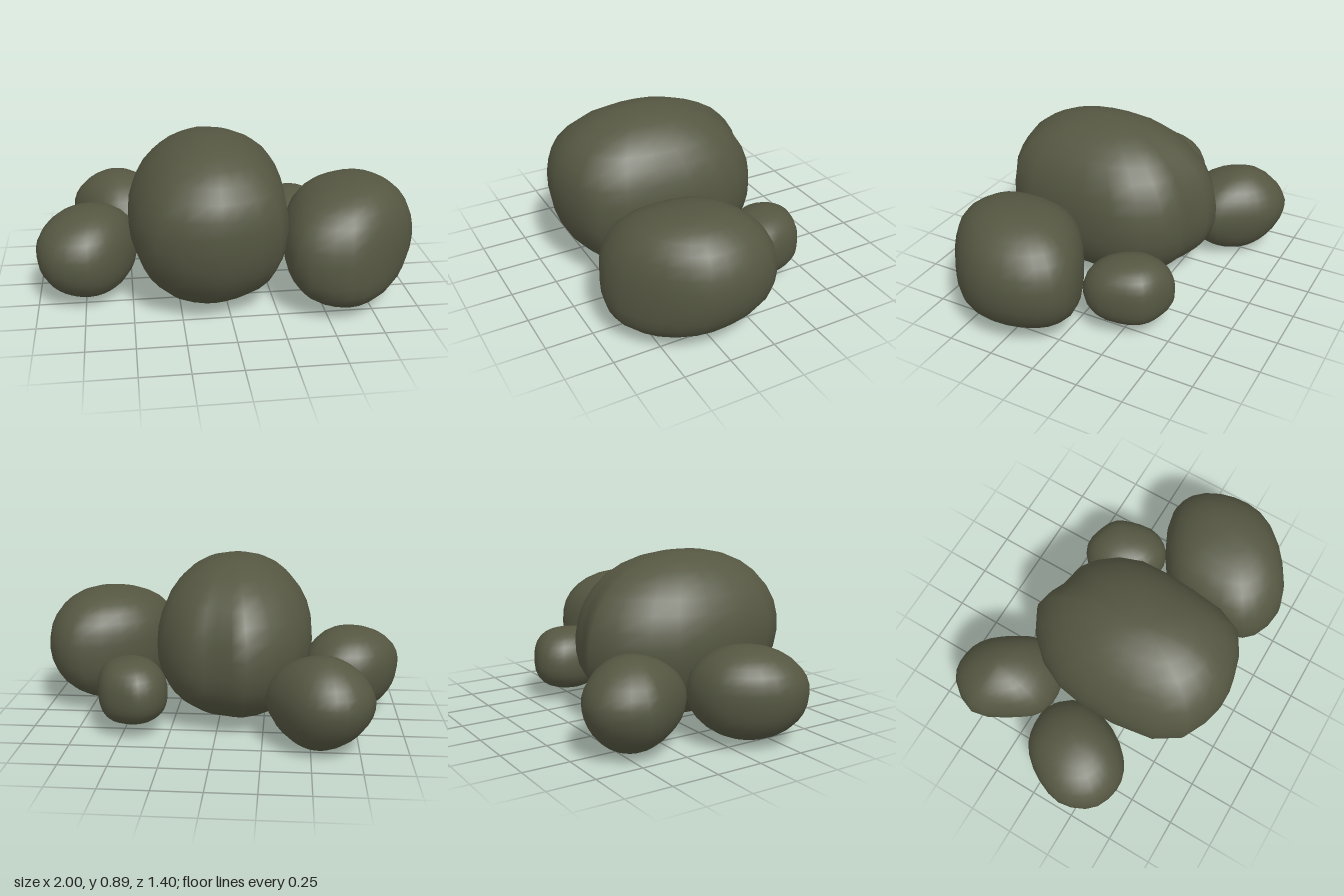
import * as THREE from 'three';
import { mergeVertices } from 'three/addons/utils/BufferGeometryUtils.js';

const ROWS = 16;
const SIDES = 24;
const { lerp, mapLinear } = THREE.MathUtils;

// Rounded lift from an end point (crown or foot) out to the widest extent
function bulge(y, end, endY, widest, waistY, power) {
  const u = Math.min(1, Math.abs((y - waistY) / (endY - waistY)));
  return lerp(end, widest, (1 - u ** power) ** (1 / power));
}

// A boulder: the plan outline [x, z] (back, +x, front, -x) is fitted at every
// height between sides that bulge from crown to foot. Each side has its own
// waist height and power, in the order -x, +x, -z, +z.
function boulder(name, material, { bottom, top, crown, foot, waists, powers, plan }) {
  const curve = new THREE.CatmullRomCurve3(plan.map(([x, z]) => new THREE.Vector3(x, 0, z)), true);
  const ring = Array.from({ length: SIDES }, (_, i) => curve.getPoint(i / SIDES));
  const { min, max } = new THREE.Box3().setFromPoints(ring);

  const positions = [], index = [];
  for (let i = 0; i <= ROWS; i++) {
    const height = Math.cos(Math.PI * i / ROWS);
    const y = mapLinear(height, -1, 1, bottom, top);
    const [x0, x1, z0, z1] = [min.x, max.x, min.z, max.z].map((widest, side) => {
      const axis = side < 2 ? 0 : 1;
      return y > waists[side]
        ? bulge(y, crown[axis], top, widest, waists[side], powers[side])
        : bulge(y, foot[axis], bottom, widest, waists[side], powers[side]);
    });
    for (const p of ring) {
      // The outline gets rounder towards crown and foot
      const nx = mapLinear(p.x, min.x, max.x, -1, 1), nz = mapLinear(p.z, min.z, max.z, -1, 1);
      const round = lerp(1, 1 / Math.hypot(nx, nz), 0.6 * height ** 2);
      positions.push(mapLinear(nx * round, -1, 1, x0, x1), y, mapLinear(nz * round, -1, 1, z0, z1));
    }
  }
  for (let i = 0; i < ROWS; i++) {
    for (let j = 0; j < SIDES; j++) {
      const a = i * SIDES + j, b = i * SIDES + (j + 1) % SIDES;
      if (i > 0) index.push(a, b, b + SIDES);
      if (i < ROWS - 1) index.push(a, b + SIDES, a + SIDES);
    }
  }
  const raw = new THREE.BufferGeometry();
  raw.setAttribute('position', new THREE.Float32BufferAttribute(positions, 3));
  raw.setIndex(index);
  const geometry = mergeVertices(raw, 1e-4);
  geometry.computeVertexNormals();
  const mesh = new THREE.Mesh(geometry, material);
  mesh.name = name;
  return mesh;
}

export function createModel() {
  const group = new THREE.Group();
  group.name = 'boulders';
  const stone = new THREE.MeshStandardMaterial({ color: 0x555742 });
  stone.name = 'mossy stone';

  // Tall central boulder
  group.add(boulder('mainBoulder', stone, {
    bottom: 0.005, top: 0.895, crown: [-0.1, 0.17], foot: [-0.15, 0.16],
    waists: [0.46, 0.44, 0.4, 0.53], powers: [1.95, 2.3, 2.2, 2.3],
    plan: [[-0.17, -0.46], [0, -0.4], [0.15, -0.37], [0.32, -0.16], [0.33, 0.2], [0.25, 0.57], [0, 0.68],
      [-0.17, 0.69], [-0.43, 0.56], [-0.51, 0.1], [-0.43, -0.24]],
  }));

  // Large boulder on the left
  group.add(boulder('largeLeftBoulder', stone, {
    bottom: 0.03, top: 0.67, crown: [0.7, 0.28], foot: [0.63, 0.32],
    waists: [0.36, 0.37, 0.35, 0.25], powers: [2.4, 2.15, 2.5, 2.6],
    plan: [[0.76, -0.11], [0.91, -0.05], [1, 0.15], [0.98, 0.38], [0.8, 0.59], [0.58, 0.7],
      [0.35, 0.63], [0.29, 0.47], [0.35, 0.14], [0.5, -0.01]],
  }));

  // Rounded boulder at the front right
  group.add(boulder('frontRightBoulder', stone, {
    bottom: 0.03, top: 0.5, crown: [-0.71, 0.12], foot: [-0.73, 0.14],
    waists: [0.29, 0.26, 0.28, 0.26], powers: [2.15, 2.2, 2.2, 2.2],
    plan: [[-0.7, -0.15], [-0.57, -0.13], [-0.46, 0.02], [-0.52, 0.25], [-0.65, 0.39],
      [-0.78, 0.42], [-0.93, 0.36], [-1, 0.2], [-0.95, 0.03], [-0.83, -0.11]],
  }));

  // Boulder at the back right
  group.add(boulder('backRightBoulder', stone, {
    bottom: 0.01, top: 0.495, crown: [-0.56, -0.46], foot: [-0.53, -0.46],
    waists: [0.27, 0.25, 0.28, 0.25], powers: [1.9, 1.9, 1.75, 1.9],
    plan: [[-0.82, -0.5], [-0.7, -0.68], [-0.57, -0.705], [-0.45, -0.66], [-0.34, -0.53],
      [-0.26, -0.36], [-0.33, -0.2], [-0.47, -0.14], [-0.62, -0.16], [-0.74, -0.31]],
  }));

  // Small raised boulder at the back left
  group.add(boulder('smallBackBoulder', stone, {
    bottom: 0.06, top: 0.41, crown: [0.45, -0.28], foot: [0.46, -0.25],
    waists: [0.22, 0.23, 0.22, 0.22], powers: [2.4, 2.4, 2.4, 2.4],
    plan: [[0.38, -0.475], [0.48, -0.46], [0.58, -0.41], [0.63, -0.3], [0.65, -0.15],
      [0.57, -0.04], [0.44, -0.03], [0.34, -0.12], [0.26, -0.26], [0.29, -0.41]],
  }));
  return group;
}
